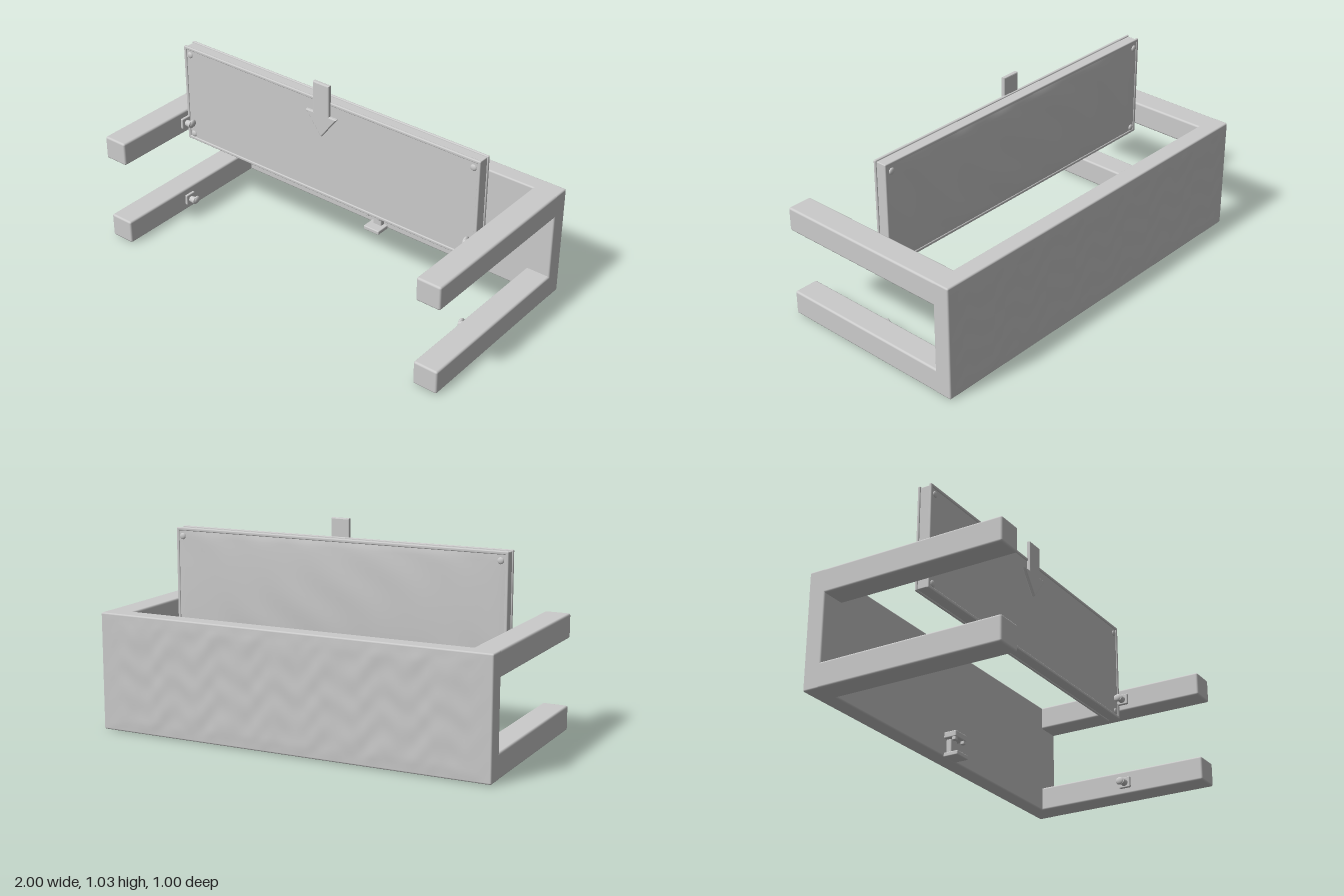
import * as THREE from 'three';
import { RoundedBoxGeometry } from 'three/addons/geometries/RoundedBoxGeometry.js';

const mat = new THREE.MeshStandardMaterial({ color: 0xcccccc });

function add(parent, name, geometry, x = 0, y = 0, z = 0) {
  const mesh = new THREE.Mesh(geometry, mat);
  mesh.name = name;
  mesh.position.set(x, y, z);
  parent.add(mesh);
  return mesh;
}

// Rounded box given by its minimum and maximum corners
function block(parent, name, [x0, y0, z0], [x1, y1, z1], r = 0.008) {
  const g = new RoundedBoxGeometry(x1 - x0, y1 - y0, z1 - z0, 2, r);
  return add(parent, name, g, (x0 + x1) / 2, (y0 + y1) / 2, (z0 + z1) / 2);
}

// Sheet facing -z, pushed outward by height(u, v, x, y); u and v run 0..1
function reliefSheet(w, h, nx, ny, height) {
  const g = new THREE.PlaneGeometry(w, h, nx, ny);
  const p = g.attributes.position;
  for (let i = 0; i < p.count; i++) {
    const x = p.getX(i), y = p.getY(i);
    p.setZ(i, height(x / w + 0.5, y / h + 0.5, x, y));
  }
  g.computeVertexNormals();
  return g.rotateY(Math.PI);
}

const edgeFade = (u, v) => Math.min(1, 12 * Math.min(u, 1 - u, v, 1 - v));

function createModel() {
  const model = new THREE.Group();

  // Back wall with a hammered outer face
  const frame = new THREE.Group();
  frame.name = 'frame';
  model.add(frame);
  block(frame, 'backWall', [-1, 0.008, -0.5], [1, 0.582, -0.412]);
  const hammered = reliefSheet(1.98, 0.556, 100, 34, (u, v, x, y) => {
    const n = Math.sin(31 * x + 9 * y + 2 * Math.sin(17 * y))
      + Math.sin(43 * y - 15 * x + 2 * Math.sin(23 * x))
      + 0.6 * Math.sin(67 * x + 38 * y);
    return 0.0002 + edgeFade(u, v) * (0.002 + 0.0008 * n);
  });
  add(frame, 'hammeredFace', hammered, 0, 0.295, -0.5);

  // Upper and lower arms reaching forward, each with a small inner hook
  for (const side of [-1, 1]) {
    for (const [y0, y1, label] of [[0.008, 0.13, 'lower'], [0.462, 0.582, 'upper']]) {
      const arm = block(frame, label + 'Arm', [0, 0, 0], [0.128, y1 - y0, 1], 0.01);
      arm.position.set(side * 0.936, (y0 + y1) / 2, 0);

      const hook = new THREE.Group();
      hook.name = label + 'Hook';
      hook.position.set(side * 0.872, y0 + 0.057, 0.075);
      model.add(hook);
      block(hook, 'hookPlate', [-0.012, -0.026, -0.03], [0.012, 0.03, 0.03], 0.005);
      const peg = add(hook, 'hookPeg', new THREE.CylinderGeometry(0.015, 0.019, 0.04, 16), -side * 0.025);
      peg.rotation.z = Math.PI / 2;
      const tip = add(hook, 'hookTip', new THREE.SphereGeometry(0.02, 16, 10), -side * 0.042, 0.002, -0.01);
      tip.scale.set(0.55, 1, 1.1);
    }
  }

  // Raised panel: core, rim rails and front plate
  const panel = new THREE.Group();
  panel.name = 'panel';
  model.add(panel);
  const W = 0.875, B = 0.42, T = 0.94;
  block(panel, 'panelCore', [-W + 0.006, B + 0.006, -0.016], [W - 0.006, T - 0.006, 0.043], 0.004);
  for (const [z0, z1] of [[-0.021, -0.008], [0.039, 0.053]]) {
    for (const y of [B, T - 0.016]) block(panel, 'panelRail', [-W, y, z0], [W, y + 0.016, z1], 0.005);
    for (const x of [-W, W - 0.016]) block(panel, 'panelStile', [x, B, z0], [x + 0.016, T, z1], 0.005);
  }
  block(panel, 'frontPlate', [-W + 0.012, B + 0.012, 0.03], [W - 0.012, T - 0.012, 0.048], 0.003);

  // Gently rippled, bulging rear face
  const rippled = reliefSheet(2 * W - 0.024, T - B - 0.024, 90, 30, (u, v, x, y) => {
    const bulge = Math.sqrt(Math.sin(Math.PI * u) * Math.sin(Math.PI * v) + 1e-6);
    const wave = Math.sin(20 * x + 17 * y + Math.sin(9 * y - 5 * x));
    return 0.012 * bulge + 0.0015 * edgeFade(u, v) * wave;
  });
  add(panel, 'rippledBack', rippled, 0, (T + B) / 2, -0.017);

  // Corner screws on both faces
  for (const x of [-0.838, 0.838]) {
    for (const y of [0.453, 0.897]) {
      for (const z of [-0.021, 0.048]) {
        const screw = add(panel, 'screw', new THREE.SphereGeometry(0.016, 16, 10), x, y, z);
        screw.scale.z = 0.45;
      }
    }
  }

  // Downward arrow on the panel front
  const outline = [[-0.042, 1.025], [-0.042, 0.865], [-0.084, 0.865], [0, 0.757],
    [0.084, 0.865], [0.042, 0.865], [0.042, 1.025]];
  const arrow = new THREE.ExtrudeGeometry(
    new THREE.Shape(outline.map(([x, y]) => new THREE.Vector2(x, y))),
    { depth: 0.01, bevelThickness: 0.005, bevelSize: 0.005, bevelSegments: 2 });
  add(model, 'arrow', arrow, 0, 0, 0.051);

  // Central catch at the foot of the back wall
  const latch = new THREE.Group();
  latch.name = 'catch';
  model.add(latch);
  block(latch, 'catchFoot', [-0.048, 0.004, -0.415], [0.048, 0.026, -0.335], 0.005);
  block(latch, 'catchPost', [-0.026, 0.02, -0.415], [0.026, 0.11, -0.385], 0.006);
  block(latch, 'catchHead', [-0.048, 0.098, -0.415], [0.048, 0.13, -0.345], 0.006);
  for (const x of [-0.036, 0.036]) {
    block(latch, 'catchLip', [x - 0.01, 0.082, -0.37], [x + 0.01, 0.108, -0.348], 0.004);
  }

  return model;
}

export { createModel };
